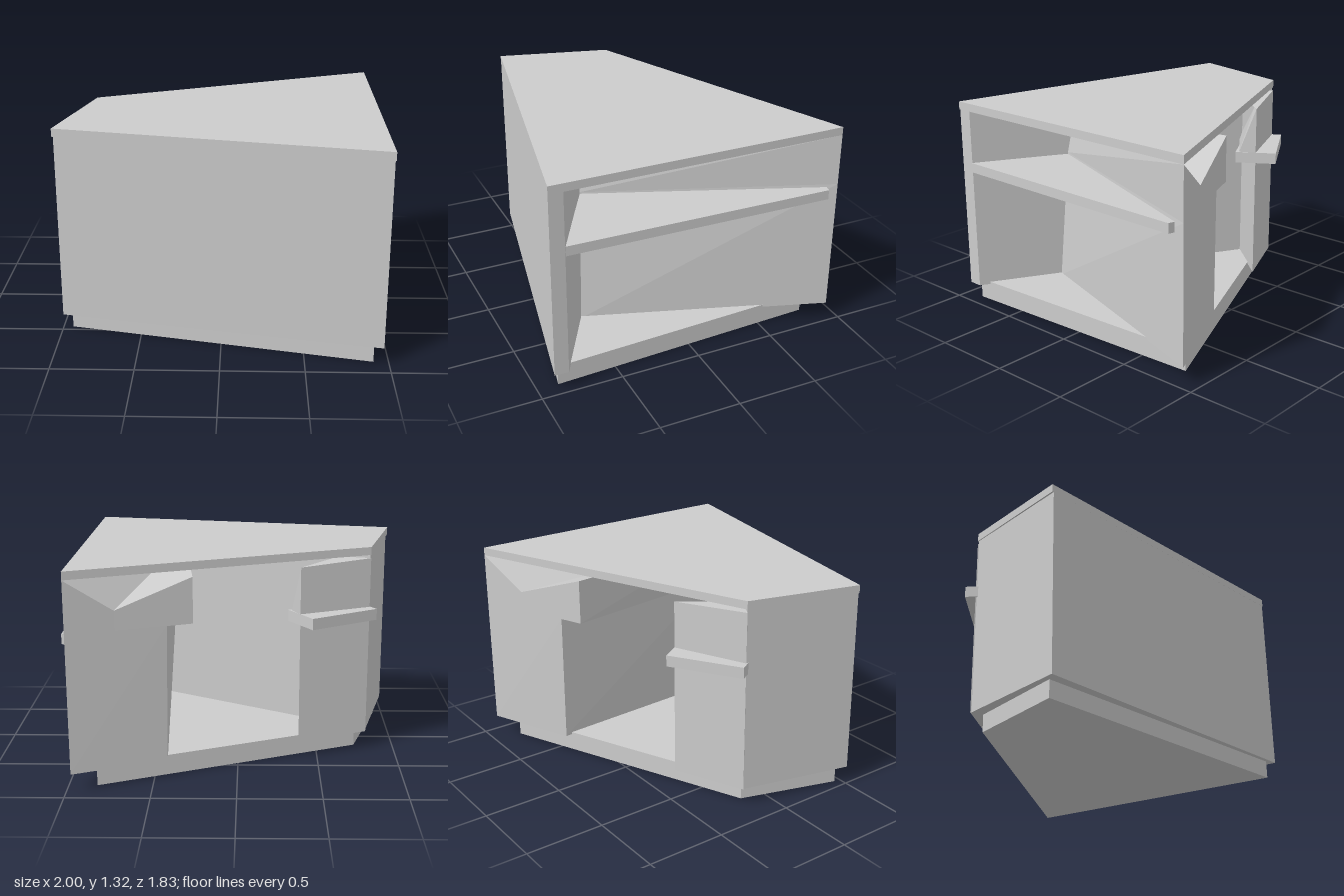
import * as THREE from 'three';

const paint = new THREE.MeshStandardMaterial({ color: 0xcccccc });
paint.name = 'plainGrey';

// Loft between two outlines of [x, z] points, listed counterclockwise seen from above.
// y0 and y1 are one height, or one height per corner.
function prism(name, base, y0, y1, top = base) {
  const h = (y, i) => (Array.isArray(y) ? y[i] : y);
  const lo = base.map(([x, z], i) => [x, h(y0, i), z]);
  const hi = top.map(([x, z], i) => [x, h(y1, i), z]);
  const pos = [];
  const tri = (a, b, c) => pos.push(...a, ...b, ...c);
  const n = base.length;
  for (let i = 0; i < n; i++) {
    const j = (i + 1) % n;
    tri(lo[i], lo[j], hi[j]);
    tri(lo[i], hi[j], hi[i]);
  }
  for (let i = 1; i < n - 1; i++) {
    tri(hi[0], hi[i], hi[i + 1]);
    tri(lo[0], lo[i + 1], lo[i]);
  }
  const geo = new THREE.BufferGeometry();
  geo.setAttribute('position', new THREE.Float32BufferAttribute(pos, 3));
  geo.computeVertexNormals();
  const mesh = new THREE.Mesh(geo, paint);
  mesh.name = name;
  return mesh;
}

export function createModel() {
  const group = new THREE.Group();
  group.name = 'cornerCounter';

  // Corners of the four-sided plan
  const A = [-1, 0.51], B = [0.97, 0.91], C = [0.97, -0.92], D = [-0.82, -0.19];

  // Points where the corner cabinet meets the slanting inner wall
  const footApex = [0.49, 0.555], midApex = [0.43, 0.52], topApex = [0.38, 0.49];

  group.add(
    prism('plinth', [[-0.94, 0.46], [0.91, 0.87], [0.83, -0.82], [-0.75, -0.15]], 0, 0.125),
    prism('counterTop', [A, B, C, D], 1.27, 1.32),

    // Wedge-shaped front body with a slanting inner wall
    prism('frontBody', [[-0.99, 0.512], [0.965, 0.908], [0.965, 0.82], [-0.815, -0.185]], 0.11, 1.27),

    // Three-cornered cabinet at the far corner, with a notched upper part
    prism('cornerCabinetLower', [footApex, C, [0.42, -0.69]], 0.11, 0.95,
      [midApex, C, [0.41, -0.69]]),
    prism('cornerCabinetUpper', [midApex, C, [0.70, -0.81], [0.26, -0.64]], 0.95,
      [1.235, 1.27, 1.07, 1.23], [topApex, C, [0.70, -0.81], [0.26, -0.64]]),

    // Open shelf on the side
    prism('sideShelf', [[0.972, 0.82], [1, -0.84], [0.96, -0.85], midApex], 0.88, 0.94),

    // Small cabinet at the narrow end, with a projecting ledge
    prism('endCabinetLower', [[-0.38, -0.38], D, [-0.67, -0.03]], 0.11, 0.88),
    prism('endCabinetUpper', [[-0.38, -0.38], D, [-0.67, -0.03], [-0.33, -0.28]], 0.93,
      [1.23, 1.25, 1.24, 1.23], [[-0.38, -0.38], D, [-0.67, -0.03], [-0.41, -0.34]]),
    prism('endLedge', [[-0.45, -0.49], [-0.86, -0.24], [-0.81, -0.16], [-0.69, -0.06], [-0.31, -0.27]], 0.87, 0.94),
  );
  return group;
}
